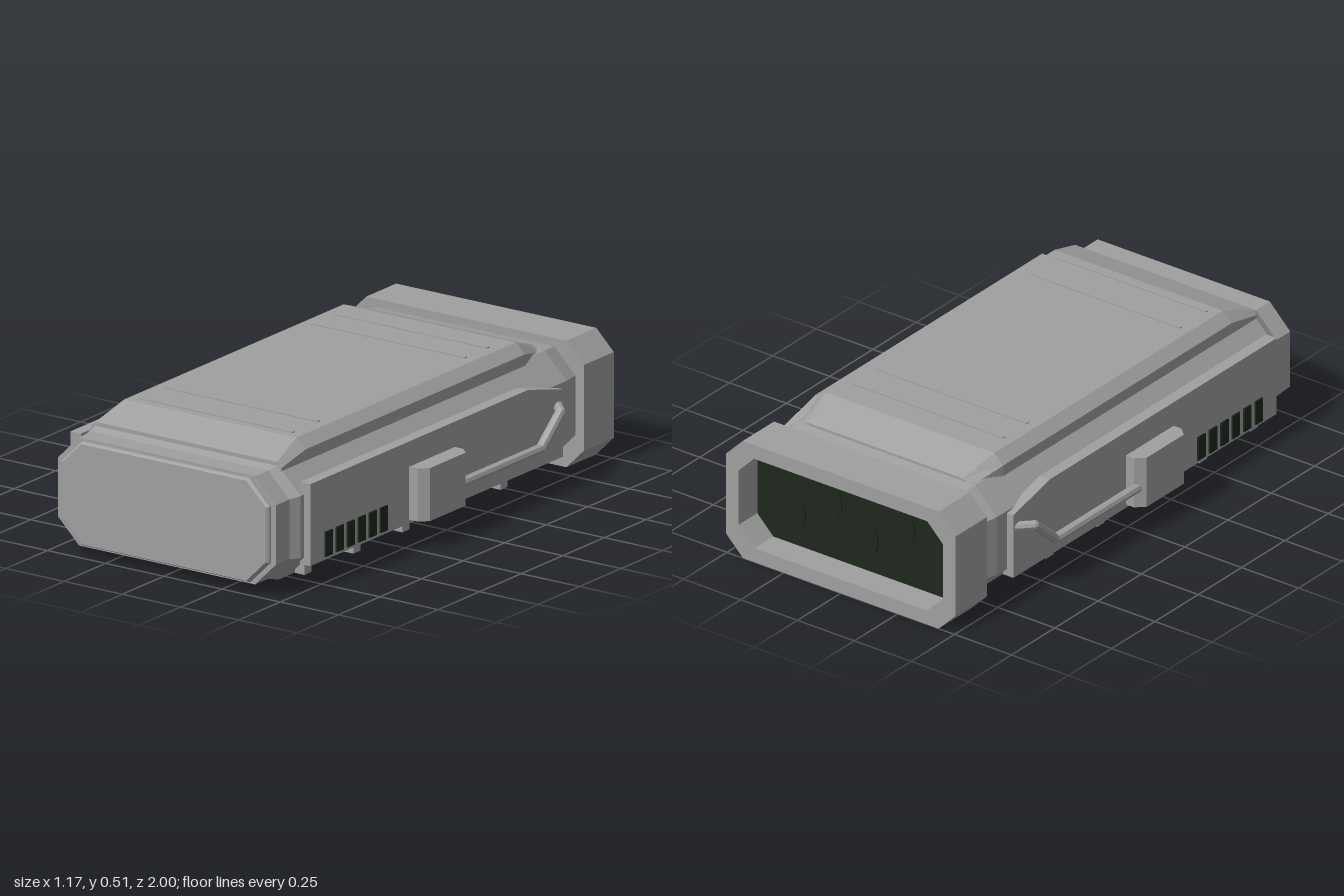
import * as THREE from 'three';

const hull = new THREE.MeshStandardMaterial({ color: 0xa0a0a0, flatShading: true });
hull.name = 'hull grey';
const dark = new THREE.MeshStandardMaterial({ color: 0x1e271e, flatShading: true });
dark.name = 'dark green';

// Chamfered rectangle, counter-clockwise seen from the front
function octagon(w, y0, y1, c) {
  return [[w - c, y0], [w, y0 + c], [w, y1 - c], [w - c, y1],
    [-w + c, y1], [-w, y1 - c], [-w, y0 + c], [-w + c, y0]];
}

// Joins sections { z, ring } ordered from front to back, with closed ends
function loft(sections) {
  const pos = [];
  const put = (s, i) => pos.push(s.ring[i][0], s.ring[i][1], s.z);
  const n = sections[0].ring.length;
  for (let k = 0; k + 1 < sections.length; k++) {
    const a = sections[k], b = sections[k + 1];
    for (let i = 0; i < n; i++) {
      const j = (i + 1) % n;
      put(a, i); put(b, i); put(a, j);
      put(a, j); put(b, i); put(b, j);
    }
  }
  const first = sections[0], last = sections[sections.length - 1];
  for (let i = 1; i < n - 1; i++) {
    put(first, 0); put(first, i); put(first, i + 1);
    put(last, 0); put(last, i + 1); put(last, i);
  }
  const g = new THREE.BufferGeometry();
  g.setAttribute('position', new THREE.Float32BufferAttribute(pos, 3));
  g.computeVertexNormals();
  return g;
}

const shapeOf = (pts) => new THREE.Shape(pts.map(([x, y]) => new THREE.Vector2(x, y)));
const extrude = (shape, depth) => new THREE.ExtrudeGeometry(shape, { depth, bevelEnabled: false });

export function createModel() {
  const model = new THREE.Group();
  model.name = 'cargoPod';

  function add(name, geometry, material, x = 0, y = 0, z = 0, parent = model) {
    const m = new THREE.Mesh(geometry, material);
    m.name = name;
    m.position.set(x, y, z);
    parent.add(m);
    return m;
  }
  const box = (name, mat, w, h, d, x, y, z, parent) =>
    add(name, new THREE.BoxGeometry(w, h, d), mat, x, y, z, parent);

  // Main body with necked ends
  const section = (z, w, y0, y1, c) => ({ z, ring: octagon(w, y0, y1, c) });
  add('body', loft([
    section(0.98, 0.468, 0.036, 0.434, 0.09),
    section(0.90, 0.468, 0.036, 0.434, 0.09),
    section(0.86, 0.488, 0.025, 0.445, 0.095),
    section(-0.74, 0.488, 0.025, 0.445, 0.095),
    section(-0.82, 0.468, 0.036, 0.434, 0.09),
    section(-0.88, 0.468, 0.036, 0.434, 0.09),
  ]), hull);
  add('frontCap', loft([
    section(1.0, 0.437, 0.05, 0.418, 0.083),
    section(0.99, 0.447, 0.044, 0.424, 0.086),
    section(0.97, 0.447, 0.044, 0.424, 0.086),
  ]), hull);

  // Raised roof hatch
  const roof = (z, w0, w1, ys, yt) => ({
    z, ring: [[w0, 0.41], [w0, ys], [w1, yt], [-w1, yt], [-w0, ys], [-w0, 0.41]],
  });
  add('roofHatch', loft([
    roof(0.865, 0.41, 0.39, 0.44, 0.458),
    roof(0.72, 0.41, 0.37, 0.47, 0.506),
    roof(-0.60, 0.41, 0.37, 0.47, 0.506),
    roof(-0.74, 0.375, 0.34, 0.435, 0.455),
  ]), hull);
  for (const z of [0.68, 0.53, -0.355, -0.49]) {
    box('roofRib', hull, 0.66, 0.008, 0.014, 0, 0.506, z);
  }

  // Rear collar around the recessed engine grille
  const collar = shapeOf(octagon(0.505, 0, 0.465, 0.075));
  collar.holes.push(shapeOf(octagon(0.45, 0.055, 0.41, 0.07)));
  add('rearCollar', extrude(collar, 0.18), hull, 0, 0, -1);
  add('engineGrille', loft([
    section(-0.87, 0.455, 0.05, 0.415, 0.07),
    section(-0.89, 0.455, 0.05, 0.415, 0.07),
  ]), dark);
  for (let i = 0; i < 5; i++) {
    const disc = add('engineDisc', new THREE.CylinderGeometry(0.085, 0.085, 0.009, 24), dark,
      -0.32 + i * 0.16, i % 2 ? 0.28 : 0.185, -0.892);
    disc.rotation.x = Math.PI / 2;
  }

  for (const s of [1, -1]) {
    const side = new THREE.Group();
    side.name = s > 0 ? 'leftSide' : 'rightSide';
    model.add(side);

    // Side panel
    const panel = extrude(shapeOf([[0.84, 0.092], [0.84, 0.393], [-0.47, 0.393],
      [-0.68, 0.34], [-0.68, 0.092]]), 0.045);
    panel.rotateY(-Math.PI / 2);
    add('sidePanel', panel, hull, s > 0 ? 0.515 : -0.47, 0, 0, side);

    // Equipment box with bevelled ends
    const pod = extrude(shapeOf([[0.5, 0.245], [0.55, 0.245], [0.583, 0.215],
      [0.583, 0], [0.55, -0.03], [0.5, -0.03]].map(([x, z]) => [s * x, z])), 0.195);
    pod.rotateX(Math.PI / 2);
    add('sideBox', pod, hull, 0, 0.3, 0, side);

    // Bent pipe from the box back to the panel
    const path = [[0.555, 0.18, 0], [0.555, 0.18, -0.49], [0.555, 0.285, -0.61], [0.505, 0.285, -0.66]]
      .map(([x, y, z]) => new THREE.Vector3(s * x, y, z));
    for (let i = 0; i < 3; i++) {
      const dir = path[i + 1].clone().sub(path[i]);
      const mid = path[i].clone().add(path[i + 1]).multiplyScalar(0.5);
      const pipe = add('pipe', new THREE.CylinderGeometry(0.018, 0.018, dir.length(), 8), hull,
        mid.x, mid.y, mid.z, side);
      pipe.quaternion.setFromUnitVectors(new THREE.Vector3(0, 1, 0), dir.normalize());
      if (i) add('pipeElbow', new THREE.SphereGeometry(0.018, 8, 6), hull,
        path[i].x, path[i].y, path[i].z, side);
    }

    // Vent slats
    for (let i = 0; i < 6; i++) {
      box('ventSlat', dark, 0.012, 0.092, 0.042, s * 0.515, 0.15, 0.402 + i * 0.0662, side);
    }

    // Pegs along the lower edge
    for (let i = 0; i < 5; i++) {
      box('lowerPeg', hull, 0.04, 0.055, 0.042, s * 0.442, 0.067, 0.78 - i * 0.295, side);
    }
  }
  return model;
}
